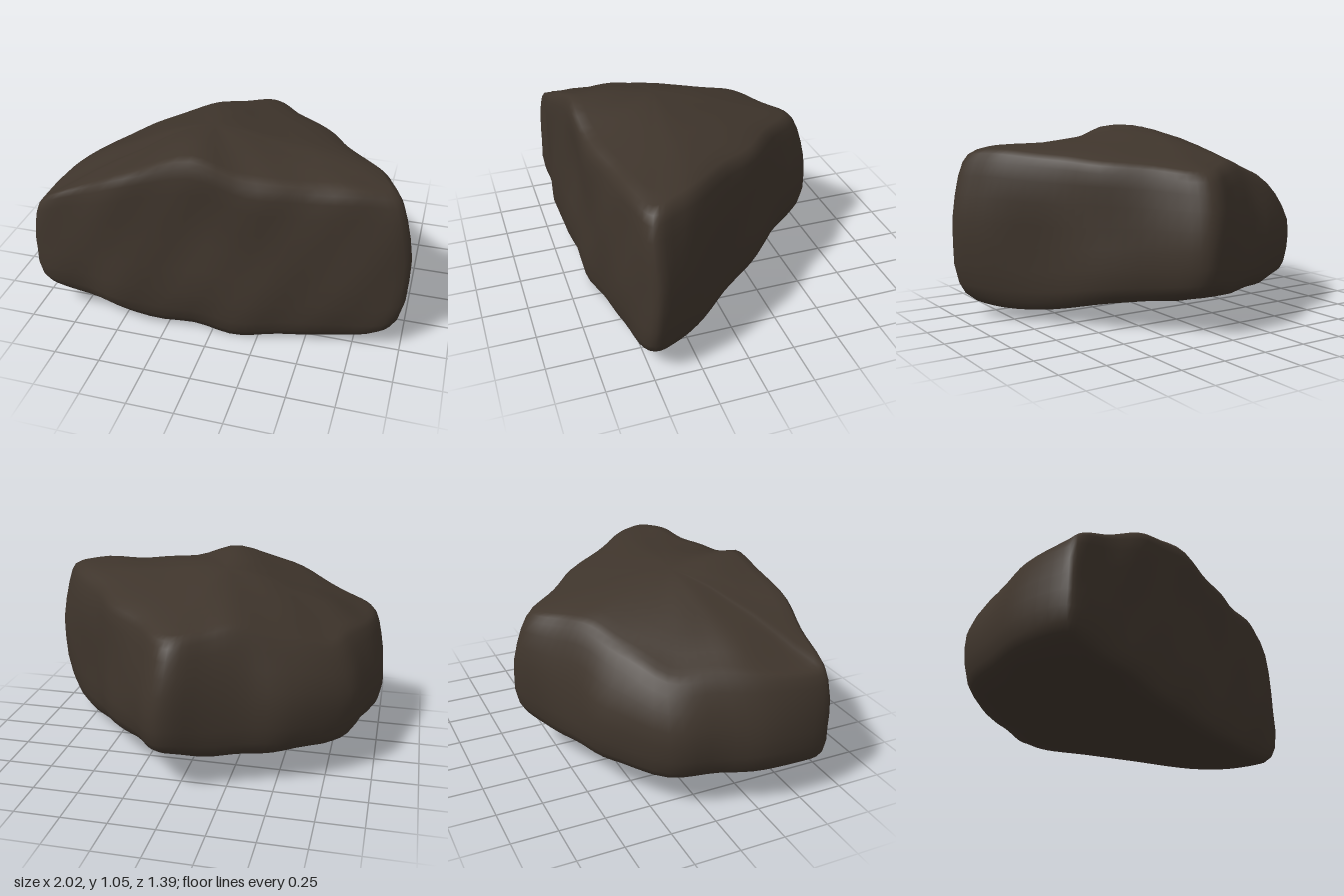
import * as THREE from 'three';
import { mergeVertices } from 'three/addons/utils/BufferGeometryUtils.js';

// Plan outline: x, z, height of lower edge, height of upper edge, inward lean of the upper wall
const OUTLINE = [
  [-1.0, 0.3, 0.17, 0.73, 0.06], [-0.995, 0.6, 0.15, 0.7, 0.02], [-0.92, 0.665, 0.13, 0.74, -0.01],
  [-0.7, 0.67, 0.11, 0.84, -0.02], [-0.45, 0.695, 0.05, 0.94, -0.01], [-0.1, 0.665, 0.02, 1.0, 0],
  [0.2, 0.645, 0.0, 0.96, -0.01], [0.5, 0.6, 0.03, 0.95, -0.01], [0.82, 0.55, 0.04, 0.94, 0],
  [1.0, 0.48, 0.08, 0.93, 0.01], [0.95, 0.34, 0.07, 0.94, 0.01], [0.85, 0.2, 0.07, 0.94, 0],
  [0.64, -0.02, 0.09, 0.92, 0], [0.49, -0.24, 0.13, 0.89, 0], [0.28, -0.46, 0.16, 0.87, 0.02],
  [0.14, -0.66, 0.2, 0.85, 0.05], [0.02, -0.7, 0.21, 0.85, 0.07], [-0.15, -0.62, 0.18, 0.87, 0.12],
  [-0.35, -0.52, 0.17, 0.87, 0.15], [-0.58, -0.43, 0.17, 0.82, 0.16], [-0.86, -0.21, 0.17, 0.74, 0.14],
  [-0.935, 0.05, 0.17, 0.74, 0.1],
];
const CENTER = { x: -0.1, z: 0.15, low: 0.05, high: 1.0 };
const COLUMNS = OUTLINE.length * 4;

// Wall profile: height fraction, scale of the outline
const WALL = [[0, 0.9], [0.05, 0.95], [0.12, 0.98], [0.25, 1], [0.4, 1], [0.55, 1],
  [0.7, 0.99], [0.83, 0.975], [0.92, 0.955], [0.97, 0.93], [1, 0.89]];
const LOWER_SCALE = WALL[0][1], UPPER_SCALE = WALL[WALL.length - 1][1];
const CAP = [0, 0.15, 0.3, 0.45, 0.6, 0.75, 0.88];

// Closed curve through the outline, with the given column as its height
const closedCurve = (k) => new THREE.CatmullRomCurve3(
  OUTLINE.map((p) => new THREE.Vector3(p[0], p[k], p[1])), true, 'catmullrom', 0.5);

// Soft lumps, a hollow in the front and a low crest on the top
function weather(p) {
  const { x, y, z } = p;
  p.x += 0.006 * Math.sin(9 * y + 5 * z + 1);
  p.y += 0.005 * Math.sin(7 * x + 4 * z) + 0.004 * Math.sin(15 * x - 9 * z + 2);
  p.z += 0.006 * Math.sin(8 * x + 7 * y) + 0.004 * Math.sin(17 * x - 11 * y);
  if (z > 0.4) p.z -= 0.03 * Math.exp(-((x + 0.05) ** 2) / 0.25 - (y - 0.62) ** 2 / 0.06);
  if (y > 0.7) p.y += 0.04 * Math.exp(-((x + 0.1) ** 2) / 0.06 - (z - 0.42) ** 2 / 0.1);
  return p;
}

function rockGeometry() {
  const lower = closedCurve(2), upper = closedCurve(3), leaning = closedCurve(4);
  // Rings run from the underside centre, up the wall, to the top centre
  const rings = [
    ...CAP.map((s) => ({ cap: 'low', s })),
    ...WALL.map(([u, s]) => ({ u, s })),
    ...[...CAP].reverse().map((s) => ({ cap: 'high', s })),
  ];
  const positions = [], index = [];
  for (const { cap, s, u } of rings) {
    for (let i = 0; i < COLUMNS; i++) {
      const t = i / COLUMNS;
      const a = lower.getPoint(t), b = upper.getPoint(t), lean = leaning.getPoint(t).y;
      let scale, y;
      if (cap) {
        scale = s * (cap === 'low' ? LOWER_SCALE : UPPER_SCALE - lean);
        const edge = cap === 'low' ? a.y : b.y;
        y = edge + (CENTER[cap] - edge) * (1 - s ** 1.6);
      } else {
        scale = s - lean * Math.max(0, (u - 0.45) / 0.55) ** 1.3;
        y = a.y + (b.y - a.y) * u;
      }
      const p = weather(new THREE.Vector3(
        CENTER.x + (a.x - CENTER.x) * scale, y, CENTER.z + (a.z - CENTER.z) * scale));
      positions.push(p.x, p.y, p.z);
    }
  }
  for (let r = 0; r < rings.length - 1; r++) {
    for (let i = 0; i < COLUMNS; i++) {
      const j = (i + 1) % COLUMNS;
      const a = r * COLUMNS + i, b = r * COLUMNS + j;
      const d = a + COLUMNS, c = b + COLUMNS;
      if (r > 0) index.push(a, b, c);
      if (r < rings.length - 2) index.push(a, c, d);
    }
  }
  let geometry = new THREE.BufferGeometry();
  geometry.setAttribute('position', new THREE.Float32BufferAttribute(positions, 3));
  geometry.setIndex(index);
  geometry = mergeVertices(geometry, 1e-5);

  // Centre on the ground
  geometry.computeBoundingBox();
  const { min, max } = geometry.boundingBox;
  geometry.translate(-(min.x + max.x) / 2, -min.y, -(min.z + max.z) / 2);
  geometry.computeVertexNormals();
  return geometry;
}

export function createModel() {
  const stone = new THREE.MeshStandardMaterial({ color: 0x3f352c });
  stone.name = 'darkBrownStone';
  const rock = new THREE.Mesh(rockGeometry(), stone);
  rock.name = 'rock';
  const group = new THREE.Group();
  group.name = 'boulder';
  group.add(rock);
  return group;
}
